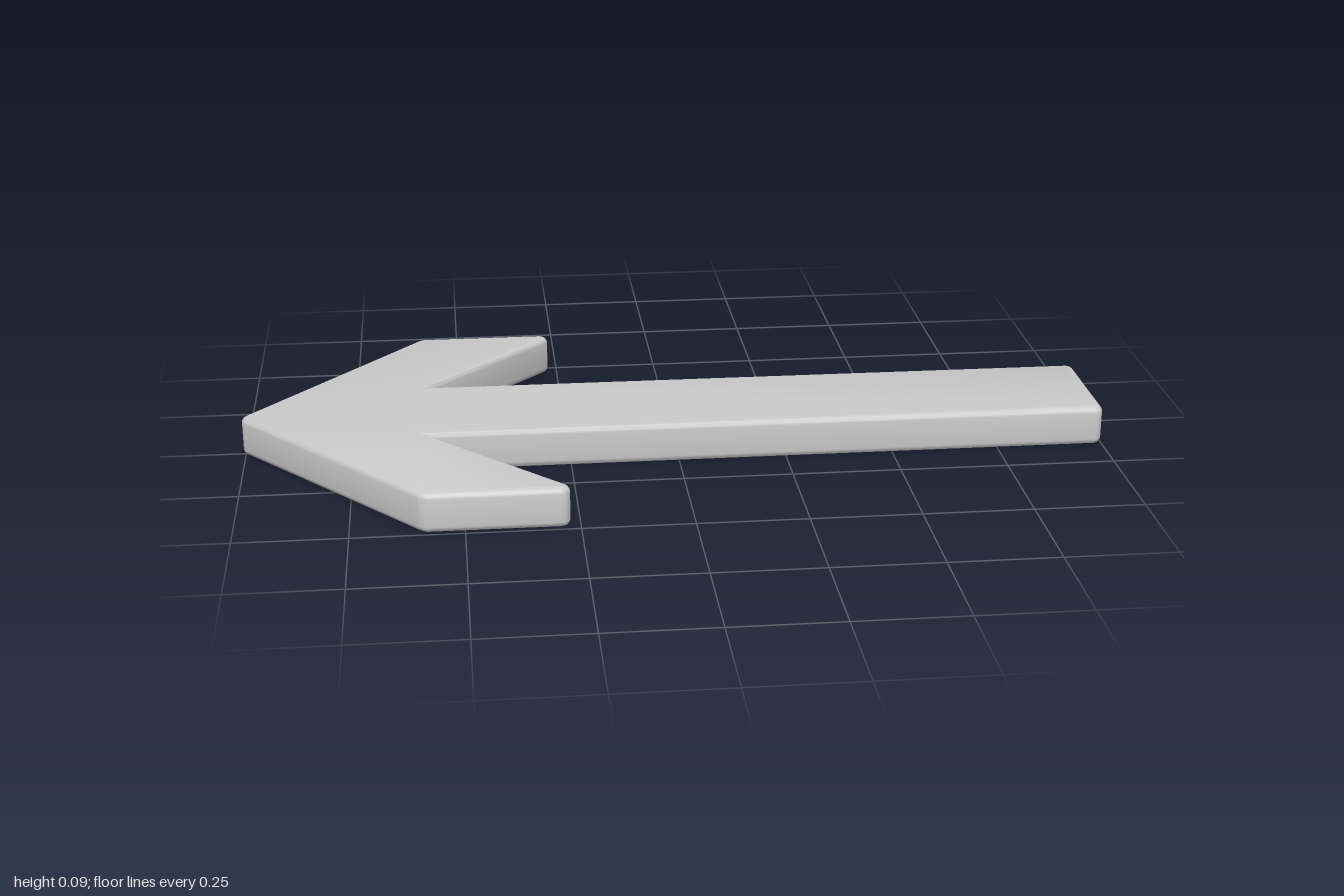
import * as THREE from 'three';
import { toCreasedNormals } from 'three/addons/utils/BufferGeometryUtils.js';

const HEIGHT = 0.093, BEVEL = 0.014;

// Closed outline whose corners [x, y, radius] are replaced by small arcs
function roundedOutline(corners, segments = 6) {
  const points = [];
  corners.forEach(([x, y, r], i) => {
    const n = corners.length;
    const p = new THREE.Vector2(x, y);
    if (!r) { points.push(p); return; }
    const a = new THREE.Vector2(...corners[(i + n - 1) % n]).sub(p).normalize();
    const b = new THREE.Vector2(...corners[(i + 1) % n]).sub(p).normalize();
    const half = Math.acos(a.dot(b)) / 2;
    const centre = a.clone().add(b).normalize().multiplyScalar(r / Math.sin(half)).add(p);
    const start = a.multiplyScalar(r / Math.tan(half)).add(p).sub(centre);
    const sweep = (Math.PI - 2 * half) * Math.sign(start.cross(p.clone().sub(centre)));
    for (let k = 0; k <= segments; k++) {
      points.push(start.clone().rotateAround(new THREE.Vector2(), sweep * k / segments).add(centre));
    }
  });
  return new THREE.Shape(points);
}

export function createModel() {
  const group = new THREE.Group();
  group.name = 'arrow';

  // Half of the outline from the barb to the shaft end, then mirrored
  const half = [
    [-0.592, 0.495, 0.03],
    [-0.245, 0.495, 0.02],
    [-0.582, 0.148, 0],
    [1, 0.148, 0.02],
  ];
  const mirrored = half.map(([x, y, r]) => [x, -y, r]).reverse();
  const shape = roundedOutline([[-1.011, 0, 0.02], ...half, ...mirrored]);

  // Flat slab with softly rounded edges, laid on the ground
  const depth = HEIGHT - 2 * BEVEL;
  const slab = new THREE.ExtrudeGeometry(shape, {
    depth, bevelEnabled: true, bevelThickness: BEVEL, bevelSize: BEVEL,
    bevelOffset: -BEVEL, bevelSegments: 4,
  });
  slab.rotateX(Math.PI / 2);
  slab.translate(0, depth + BEVEL, 0);

  const mesh = new THREE.Mesh(
    toCreasedNormals(slab, 0.7),
    new THREE.MeshStandardMaterial({ color: 0xcccccc })
  );
  mesh.name = 'arrowBody';
  group.add(mesh);
  return group;
}
